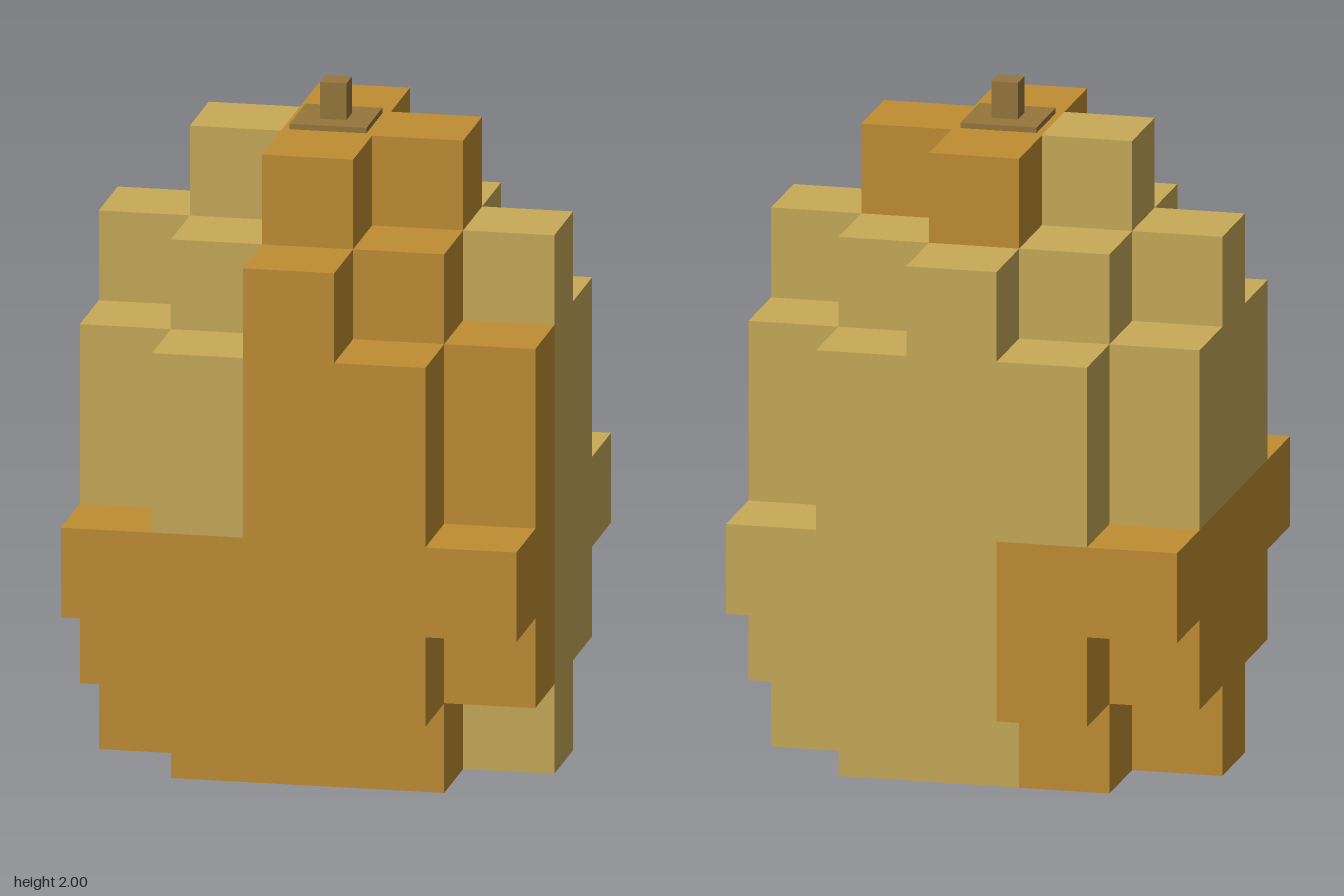
import * as THREE from 'three';
import { mergeGeometries } from 'three/addons/utils/BufferGeometryUtils.js';

const CELL = 1.875 / 7;

// Which cells of the 5 x 7 x 5 grid are filled, by layer
function filled(x, y, z) {
  const ax = Math.abs(x), az = Math.abs(z);
  if (y < 0 || y > 6 || ax > 2 || az > 2) return false;
  if (y === 0) return az <= 1 && (ax <= 1 || z === 0);   // foot, with a nub on each side
  if (y === 2) return true;                              // widest ring, with corners
  if (y < 5) return ax + az < 4;                         // body without corners
  if (y === 5) return ax + az <= 2;                      // shoulder
  return ax + az <= 1;                                   // crown
}

// Colour patches of the husk
function isOrange(x, y, z) {
  if (x < 0) return y <= 2;
  return z >= 1 || y === 6;
}

export function createModel() {
  const orange = new THREE.MeshStandardMaterial({ color: 0xc08e33 });
  orange.name = 'orange husk';
  const tan = new THREE.MeshStandardMaterial({ color: 0xc8aa58 });
  tan.name = 'tan husk';
  const brown = new THREE.MeshStandardMaterial({ color: 0x96773b });
  brown.name = 'brown stem';

  const group = new THREE.Group();
  group.name = 'blockFruit';
  const add = (name, geometry, material) => {
    const mesh = new THREE.Mesh(geometry, material);
    mesh.name = name;
    group.add(mesh);
    return mesh;
  };

  // Husk: only the outward faces of the filled cells
  const front = new THREE.Vector3(0, 0, 1);
  const sides = [[1, 0, 0], [-1, 0, 0], [0, 1, 0], [0, -1, 0], [0, 0, 1], [0, 0, -1]].map((d) => {
    const normal = new THREE.Vector3(...d);
    const turn = new THREE.Quaternion().setFromUnitVectors(front, normal);
    const face = new THREE.PlaneGeometry(CELL, CELL)
      .translate(0, 0, CELL / 2)
      .applyQuaternion(turn);
    return { d, face };
  });
  const orangeFaces = [], tanFaces = [];
  for (let y = 0; y < 7; y++) {
    for (let x = -2; x <= 2; x++) {
      for (let z = -2; z <= 2; z++) {
        if (!filled(x, y, z)) continue;
        const faces = isOrange(x, y, z) ? orangeFaces : tanFaces;
        for (const { d, face } of sides) {
          if (filled(x + d[0], y + d[1], z + d[2])) continue;
          faces.push(face.clone().translate(x * CELL, (y + 0.5) * CELL, z * CELL));
        }
      }
    }
  }
  add('orangeHusk', mergeGeometries(orangeFaces), orange);
  add('tanHusk', mergeGeometries(tanFaces), tan);

  // Stem on a thin square cap
  add('stemCap', new THREE.BoxGeometry(0.226, 0.016, 0.226), brown).position.y = 1.883;
  add('stem', new THREE.BoxGeometry(0.078, 0.109, 0.078), brown).position.y = 1.9455;

  return group;
}
